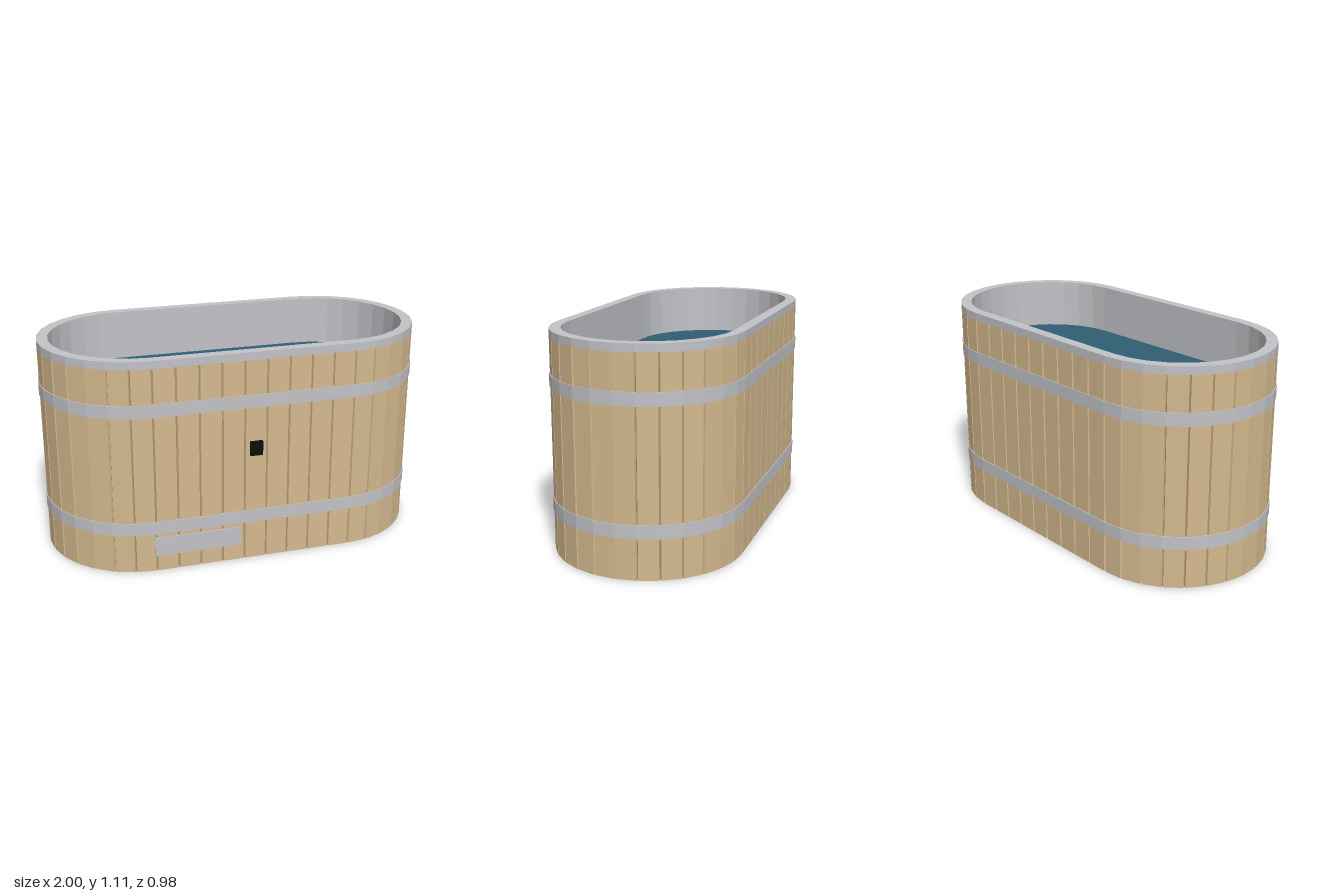
import * as THREE from 'three';

const END_X = 0.517; // centre of each rounded end
const END_STAVES = 14;
const SIDE_STAVES = 9;

const paint = (name, color) => {
  const m = new THREE.MeshStandardMaterial({ color });
  m.name = name;
  return m;
};

// Corner points of a faceted stadium, counter-clockwise, one per stave joint
function stadium(radius) {
  const points = [];
  for (const side of [1, -1]) {
    for (let i = 0; i <= END_STAVES; i++) {
      const a = -Math.PI / 2 + (i / END_STAVES) * Math.PI;
      points.push(new THREE.Vector2(side * (END_X + radius * Math.cos(a)), side * radius * Math.sin(a)));
    }
    for (let i = 1; i < SIDE_STAVES; i++) {
      points.push(new THREE.Vector2(side * END_X * (1 - (2 * i) / SIDE_STAVES), side * radius));
    }
  }
  return points;
}

// Cut a small V groove at every stave joint
function grooved(points, halfWidth, depth) {
  const out = [];
  points.forEach((p, i) => {
    const prev = points[(i + points.length - 1) % points.length];
    const next = points[(i + 1) % points.length];
    const before = prev.clone().sub(p).setLength(halfWidth);
    const after = next.clone().sub(p).setLength(halfWidth);
    const along = after.clone().sub(before).normalize();
    const inward = new THREE.Vector2(-along.y, along.x).multiplyScalar(depth);
    out.push(p.clone().add(before), p.clone().add(inward), p.clone().add(after));
  });
  return out;
}

// Upright ring between two outlines
function ring(outer, inner, y0, y1) {
  const shape = new THREE.Shape(outer);
  shape.holes.push(new THREE.Path(inner));
  const g = new THREE.ExtrudeGeometry(shape, { depth: y1 - y0, bevelEnabled: false });
  g.rotateX(-Math.PI / 2);
  g.translate(0, y0, 0);
  return g;
}

export function createModel() {
  const wood = paint('wood', 0xd4b98e);
  const metal = paint('grey metal', 0xc2c3c7);
  const waterBlue = paint('water blue', 0x305e74);
  const black = paint('black', 0x0e0e0e);

  const model = new THREE.Group();
  model.name = 'woodenTub';
  const add = (name, geometry, material, x = 0, y = 0, z = -0.004) => {
    const mesh = new THREE.Mesh(geometry, material);
    mesh.name = name;
    mesh.position.set(x, y, z);
    model.add(mesh);
    return mesh;
  };

  // Stave wall, inner liner and rim
  add('staveWall', ring(grooved(stadium(0.479), 0.005, 0.014), stadium(0.43), 0, 1.07), wood);
  add('liner', ring(stadium(0.4305), stadium(0.4225), 0.11, 1.07), metal);
  add('rim', ring(stadium(0.479), stadium(0.4225), 1.07, 1.11), metal);

  // Two hoops round the staves
  [['lowerHoop', 0.205, 0.272], ['upperHoop', 0.827, 0.893]].forEach(([name, y0, y1]) =>
    add(name, ring(stadium(0.483), stadium(0.472), y0, y1), metal));

  // Floor slab and water surface
  add('floorSlab', new THREE.BoxGeometry(1.37, 0.045, 0.83), metal, 0, 0.083);
  const water = new THREE.ShapeGeometry(new THREE.Shape(stadium(0.4235)));
  water.rotateX(-Math.PI / 2);
  add('water', water, waterBlue, 0, 0.85);

  // Control button and service plate on the front
  add('controlButton', new THREE.BoxGeometry(0.064, 0.074, 0.03), black, 0, 0.613, 0.476);
  add('servicePlate', new THREE.BoxGeometry(0.45, 0.1, 0.008), metal, -0.302, 0.135, 0.476);

  return model;
}
